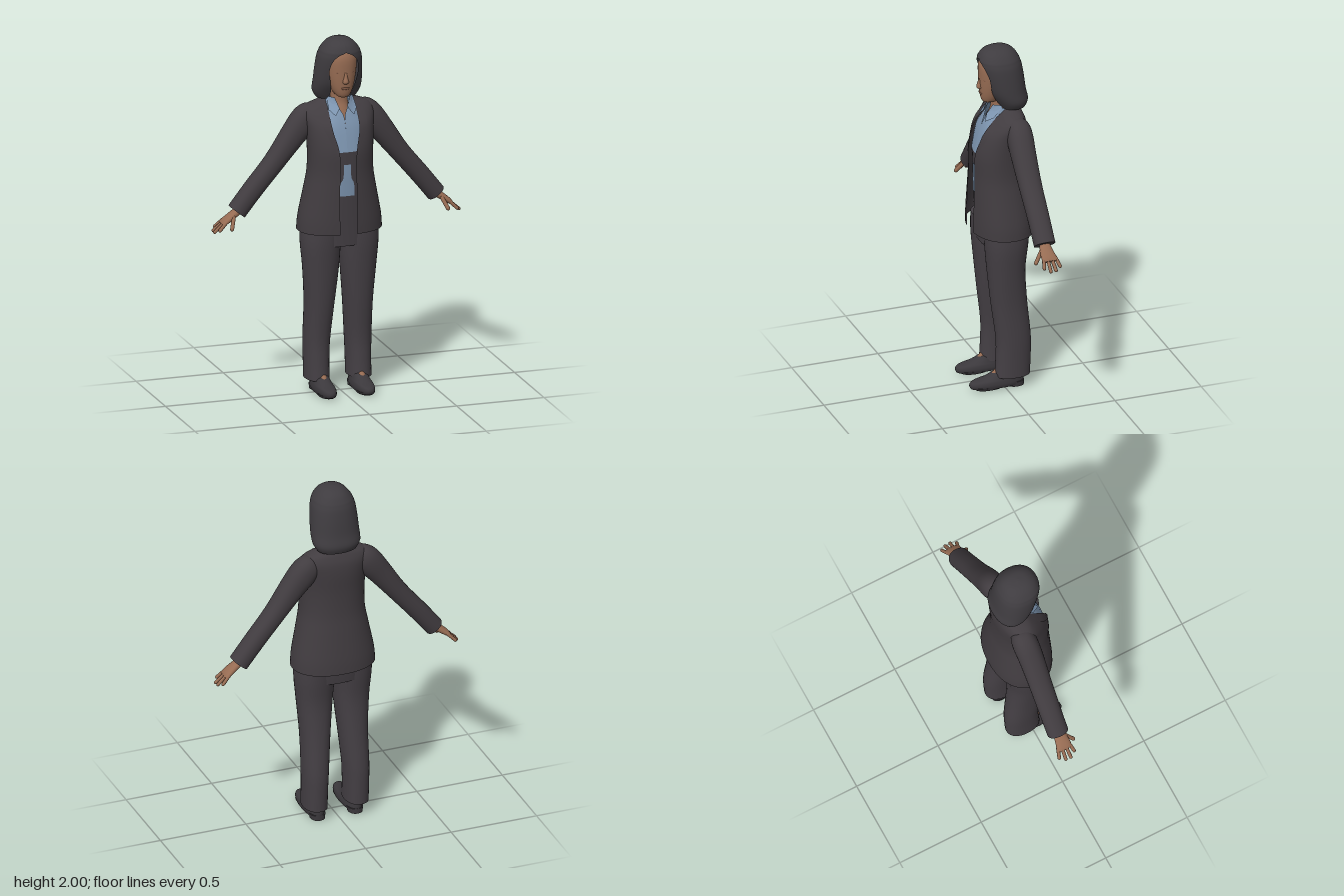
import * as THREE from 'three';

const mat = (name, color, side = THREE.FrontSide) => {
  const m = new THREE.MeshStandardMaterial({ color, side });
  m.name = name;
  return m;
};

// Catmull-Rom interpolation of whole rows
function sample(rows, t) {
  const i = Math.min(Math.floor(t), rows.length - 2), f = t - i;
  const at = k => rows[Math.max(0, Math.min(rows.length - 1, k))];
  const [a, b, c, d] = [at(i - 1), at(i), at(i + 1), at(i + 2)];
  return b.map((v, k) => v + 0.5 * f * (c[k] - a[k] +
    f * (2 * a[k] - 5 * v + 4 * c[k] - d[k] + f * (3 * (v - c[k]) + d[k] - a[k]))));
}

const E = 0.9; // slightly boxy cross-sections
const spow = v => Math.sign(v) * Math.abs(v) ** E;
const angleAt = (x, rx) => Math.asin(Math.min(1, Math.max(0, x / rx) ** (1 / E)));

// Which part of each ring is built; a and b are distances from the centre line
const open = r => { const t = angleAt(r[5], r[1]); return [t, 2 * Math.PI - t]; };
const strip = r => { const t = angleAt(r[5], r[1]); return [-t, t]; };
const sideStrip = s => r => {
  const a = angleAt(r[5], r[1]), b = angleAt(r[6], r[1]);
  return s > 0 ? [a, b] : [-b, -a];
};

// Loft of horizontal rings. Row: [y, half width, front z, back z, centre x, a, b]
function loft(rows, { span = null, cols = 32, sub = 4, caps = !span, grow = 0 } = {}) {
  const full = rows.map(r => [...r, 0, 0, 0].slice(0, 7));
  const pos = [], idx = [], n = (rows.length - 1) * sub, w = span ? cols + 1 : cols;
  for (let i = 0; i <= n; i++) {
    const r = sample(full, i / sub), [y, rx, zf, zb, cx] = r;
    const [t0, t1] = span ? span(r) : [0, 2 * Math.PI];
    for (let j = 0; j < w; j++) {
      const t = t0 + (t1 - t0) * j / cols;
      pos.push(cx + (rx + grow) * spow(Math.sin(t)), y,
        (zf + zb) / 2 + ((zf - zb) / 2 + grow) * spow(Math.cos(t)));
    }
  }
  for (let i = 0; i < n; i++) for (let j = 0; j < cols; j++) {
    const k = (j + 1) % w, a = i * w + j, b = i * w + k;
    idx.push(a, b, a + w, b, b + w, a + w);
  }
  if (caps) for (const row of [0, n]) {
    const start = pos.length / 3, r = full[row / sub];
    for (let j = 0; j < w; j++) pos.push(...pos.slice((row * w + j) * 3, (row * w + j) * 3 + 3));
    pos.push(r[4], r[0], (r[2] + r[3]) / 2);
    for (let j = 0; j < w; j++) {
      const a = start + j, b = start + (j + 1) % w;
      row ? idx.push(start + w, a, b) : idx.push(start + w, b, a);
    }
  }
  const g = new THREE.BufferGeometry();
  g.setAttribute('position', new THREE.Float32BufferAttribute(pos, 3));
  g.setIndex(idx);
  g.computeVertexNormals();
  return g;
}

export function createModel() {
  const model = new THREE.Group();
  const D = THREE.DoubleSide;
  const jacketM = mat('jacket charcoal', 0x413c40, D), trouserM = mat('trouser charcoal', 0x443f44);
  const hairM = mat('dark hair', 0x3f3c40, D), shoeM = mat('shoe black', 0x3b383c);
  const skin = mat('skin', 0x976c53), shade = mat('darker skin', 0x7d5643);
  const shirtM = mat('shirt blue', 0x7d95b0, D);
  const add = (name, geo, m, parent = model) => {
    const mesh = new THREE.Mesh(geo, m);
    mesh.name = name;
    parent.add(mesh);
    return mesh;
  };

  // Jacket, open down the front
  add('jacket', loft([
    [0.92, 0.236, 0.155, -0.19, 0, 0.05], [1.0, 0.229, 0.155, -0.185, 0, 0.05],
    [1.15, 0.2, 0.15, -0.165, 0, 0.05], [1.26, 0.182, 0.146, -0.15, 0, 0.045],
    [1.39, 0.182, 0.145, -0.146, 0, 0.05], [1.5, 0.19, 0.115, -0.15, 0, 0.076],
    [1.57, 0.2, 0.065, -0.145, 0, 0.08], [1.612, 0.18, 0.025, -0.13, 0, 0.078],
    [1.635, 0.12, 0.005, -0.118, 0, 0.072], [1.655, 0.085, -0.005, -0.11, 0, 0.068],
  ], { span: open, cols: 48 }), jacketM);

  // Lapels
  for (const s of [1, -1]) add(s > 0 ? 'leftLapel' : 'rightLapel', loft([
    [1.36, 0.182, 0.145, -0.146, 0, 0.046, 0.05], [1.5, 0.19, 0.115, -0.15, 0, 0.074, 0.115],
    [1.57, 0.2, 0.065, -0.145, 0, 0.078, 0.125], [1.612, 0.18, 0.025, -0.13, 0, 0.076, 0.1],
  ], { span: sideStrip(s), cols: 6, grow: 0.005 }), jacketM);

  // Shirt with an open neck, dark waist and the lower glimpse of shirt
  add('shirt', loft([
    [1.38, 0.16, 0.128, -0.12, 0, 0], [1.5, 0.168, 0.1, -0.12, 0, 0],
    [1.57, 0.115, 0.075, -0.11, 0, 0.003], [1.61, 0.088, 0.056, -0.1, 0, 0.022],
    [1.655, 0.076, 0.035, -0.095, 0, 0.038],
  ], { span: open }), shirtM);
  const waist = [[0.84, 0.19, 0.1, -0.14], [0.95, 0.2, 0.105, -0.15],
    [1.12, 0.17, 0.115, -0.14], [1.25, 0.155, 0.122, -0.12], [1.38, 0.16, 0.127, -0.12]];
  add('waist', loft(waist), trouserM);
  add('lowerShirt', loft([
    [1.13, 0.17, 0.116, -0.14, 0, 0.042], [1.2, 0.161, 0.12, -0.13, 0, 0.038],
    [1.235, 0.157, 0.122, -0.124, 0, 0.022], [1.31, 0.157, 0.125, -0.12, 0, 0.02],
  ], { span: strip, cols: 8, grow: 0.005 }), shirtM);

  // Shirt collar points
  for (const s of [1, -1]) {
    const g = new THREE.BufferGeometry();
    g.setAttribute('position', new THREE.Float32BufferAttribute([
      0.024 * s, 1.612, 0.066, 0.052 * s, 1.578, 0.086, 0.08 * s, 1.605, 0.045,
      0.074 * s, 1.668, -0.015, 0.042 * s, 1.668, 0.036], 3));
    g.setIndex(s > 0 ? [0, 1, 2, 0, 2, 3, 0, 3, 4] : [0, 2, 1, 0, 3, 2, 0, 4, 3]);
    g.computeVertexNormals();
    add(s > 0 ? 'leftCollar' : 'rightCollar', g, shirtM);
  }

  // Neck, head and face
  add('neck', loft([[1.52, 0.09, 0.075, -0.09], [1.6, 0.055, 0.045, -0.08],
    [1.65, 0.046, 0.03, -0.07], [1.74, 0.046, 0.03, -0.07]]), skin);
  add('head', loft([
    [1.675, 0.02, 0.07, 0.02], [1.69, 0.042, 0.086, -0.02], [1.74, 0.067, 0.096, -0.07],
    [1.82, 0.083, 0.1, -0.09], [1.9, 0.084, 0.099, -0.09], [1.955, 0.055, 0.075, -0.07],
  ]), skin);
  add('nose', loft([[1.758, 0.01, 0.105, 0.08], [1.77, 0.018, 0.116, 0.07],
    [1.8, 0.011, 0.108, 0.07], [1.84, 0.007, 0.098, 0.07]], { cols: 12 }), skin);
  const lips = add('lips', new THREE.SphereGeometry(1, 14, 8), shade);
  lips.scale.set(0.024, 0.008, 0.007);
  lips.position.set(0, 1.732, 0.092);
  for (const s of [1, -1]) {
    const eye = add(s > 0 ? 'leftEye' : 'rightEye', new THREE.SphereGeometry(1, 14, 8), shade);
    eye.scale.set(0.017, 0.008, 0.006);
    eye.rotation.y = 0.3 * s;
    eye.position.set(0.036 * s, 1.822, 0.086);
  }

  // Shoulder-length hair framing the face
  add('hair', loft([
    [1.65, 0.112, 0, -0.155, 0, 0.075], [1.69, 0.133, 0.025, -0.168, 0, 0.06],
    [1.75, 0.134, 0.062, -0.156, 0, 0.07], [1.83, 0.129, 0.088, -0.146, 0, 0.082],
    [1.89, 0.122, 0.102, -0.136, 0, 0.066], [1.92, 0.113, 0.104, -0.127, 0, 0.036],
    [1.938, 0.105, 0.101, -0.119, 0, 0], [1.97, 0.08, 0.082, -0.097, 0, 0],
    [1.992, 0.047, 0.045, -0.062, 0, 0], [2.0, 0.006, -0.004, -0.014, 0, 0],
  ], { span: open, cols: 40, caps: true }), hairM);

  for (const s of [1, -1]) {
    const side = s > 0 ? 'left' : 'right';

    // Sleeve, built from the cuff up to the shoulder
    const arm = new THREE.Group();
    arm.name = side + 'Arm';
    arm.position.set(0.57 * s, 1.045, 0);
    arm.rotation.z = 0.671 * s;
    model.add(arm);
    add(side + 'Sleeve', loft([
      [0, 0.053, -0.008, -0.126], [0.15, 0.054, -0.006, -0.126], [0.33, 0.056, 0, -0.126, -0.004 * s],
      [0.5, 0.068, 0.006, -0.13], [0.6, 0.076, 0.006, -0.135], [0.66, 0.068, -0.002, -0.13],
      [0.7, 0.045, -0.02, -0.11], [0.715, 0.01, -0.055, -0.075],
    ]), jacketM, arm);

    // Hand: palm, four spread fingers and a thumb
    const hand = new THREE.Group();
    hand.name = side + 'Hand';
    hand.position.set(0.57 * s, 1.045, -0.066);
    hand.rotation.z = 0.95 * s;
    model.add(hand);
    add(side + 'Palm', loft([[-0.108, 0.009, 0.036, -0.043], [-0.09, 0.015, 0.042, -0.045],
      [-0.05, 0.019, 0.04, -0.037], [0.01, 0.022, 0.028, -0.028], [0.04, 0.022, 0.026, -0.026]],
    { cols: 20 }), skin, hand);
    const digit = (name, from, to, r) => {
      const a = new THREE.Vector3(from[0] * s, from[1], from[2]);
      const b = new THREE.Vector3(to[0] * s, to[1], to[2]);
      const m = add(name, new THREE.CapsuleGeometry(r, a.distanceTo(b), 3, 8), skin, hand);
      m.position.copy(a).lerp(b, 0.5);
      m.quaternion.setFromUnitVectors(new THREE.Vector3(0, 1, 0), b.sub(a).normalize());
    };
    [0.14, 0.164, 0.162, 0.14].forEach((len, i) => {
      const z = 0.031 - i * 0.0225;
      digit(side + 'Finger' + (i + 1), [0, -0.085, z], [-0.008, -len, z * 1.35], 0.0098);
    });
    digit(side + 'Thumb', [-0.004, -0.035, 0.03], [-0.035, -0.085, 0.068], 0.0115);

    // Trouser leg
    add(side + 'TrouserLeg', loft([
      [0.07, 0.066, 0.052, -0.145, 0.12 * s], [0.18, 0.067, 0.046, -0.15, 0.12 * s],
      [0.3, 0.071, 0.046, -0.15, 0.118 * s], [0.5, 0.08, 0.07, -0.132, 0.11 * s],
      [0.7, 0.097, 0.09, -0.12, 0.107 * s], [0.85, 0.109, 0.102, -0.135, 0.108 * s],
      [0.96, 0.108, 0.102, -0.145, 0.106 * s],
    ]), trouserM);

    // Shoe with heel, bare instep and worn sole
    add(side + 'Shoe', loft([
      [0.012, 0.05, 0.19, -0.11, 0.11 * s], [0.03, 0.054, 0.197, -0.115, 0.11 * s],
      [0.05, 0.051, 0.182, -0.115, 0.11 * s], [0.066, 0.046, 0.115, -0.112, 0.11 * s],
      [0.1, 0.04, 0.04, -0.105, 0.11 * s],
    ]), shoeM);
    add(side + 'Heel', loft([[0, 0.04, -0.02, -0.115, 0.11 * s],
      [0.03, 0.045, -0.01, -0.115, 0.11 * s]]), shoeM);
    add(side + 'Sole', loft([[0.002, 0.042, 0.165, 0.01, 0.11 * s],
      [0.02, 0.05, 0.185, 0.0, 0.11 * s]]), shoeM);
    add(side + 'Instep', loft([[0.05, 0.032, 0.09, -0.05, 0.11 * s],
      [0.08, 0.026, 0.073, -0.05, 0.11 * s], [0.11, 0.022, 0.045, -0.05, 0.11 * s]]), skin);
    add(side + 'SolePatch', loft([[0.0005, 0.026, 0.09, 0.015, 0.11 * s],
      [0.004, 0.026, 0.09, 0.015, 0.11 * s]], { sub: 1 }), shade);
  }
  return model;
}
